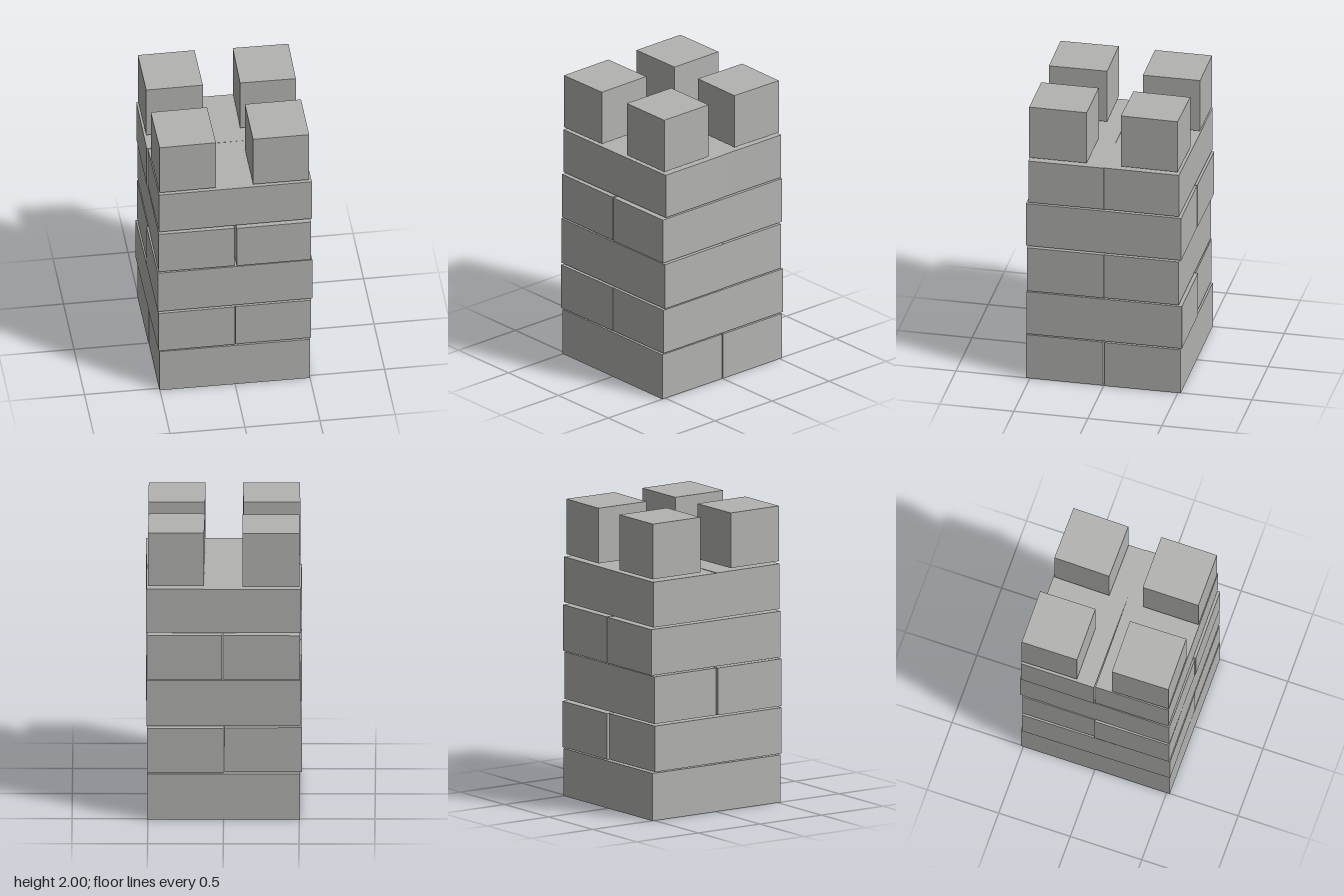
import * as THREE from 'three';

export function createModel() {
  const tower = new THREE.Group();
  tower.name = 'brickTower';
  const stone = new THREE.MeshStandardMaterial({ color: 0xb2b2b0 });
  stone.name = 'greyStone';

  // Block given by its extents, turned slightly about its own vertical axis
  function block(name, [x0, x1], [y0, y1], [z0, z1], yaw = 0) {
    const mesh = new THREE.Mesh(new THREE.BoxGeometry(x1 - x0, y1 - y0, z1 - z0), stone);
    mesh.name = name;
    mesh.position.set((x0 + x1) / 2, (y0 + y1) / 2, (z0 + z1) / 2);
    mesh.rotation.y = yaw;
    tower.add(mesh);
  }

  // Courses of two loosely laid bricks, alternating direction: [x range, z range, yaw]
  const courses = [
    { y: [0, 0.32], bricks: [
      [[-0.505, 0.505], [-0.518, -0.002], 0.003],
      [[-0.502, 0.502], [0.002, 0.524], -0.004]] },
    { y: [0.33, 0.64], bricks: [
      [[-0.514, -0.003], [-0.508, 0.526], 0.008],
      [[0.002, 0.506], [-0.527, 0.522], 0.002]] },
    { y: [0.652, 0.97], bricks: [
      [[-0.508, 0.51], [-0.506, -0.003], 0.002],
      [[-0.516, 0.515], [0.001, 0.52], 0.005]] },
    { y: [0.98, 1.29], bricks: [
      [[-0.506, -0.002], [-0.524, 0.522], -0.004],
      [[0.01, 0.505], [-0.522, 0.526], 0.003]] },
    { y: [1.305, 1.61], bricks: [
      [[-0.514, 0.509], [-0.512, 0], -0.005],
      [[-0.506, 0.513], [0.002, 0.511], 0.006]] },
  ];
  courses.forEach(({ y, bricks }, row) => {
    bricks.forEach(([x, z, yaw], i) => block(`course${row + 1}Brick${i + 1}`, x, y, z, yaw));
  });

  // Corner battlements
  const top = [1.628, 2];
  block('battlementBackRight', [-0.502, -0.124], top, [-0.513, -0.127], 0.005);
  block('battlementBackLeft', [0.126, 0.497], top, [-0.5, -0.115], -0.013);
  block('battlementFrontRight', [-0.503, -0.127], top, [0.117, 0.51], 0.01);
  block('battlementFrontLeft', [0.123, 0.497], top, [0.117, 0.506], 0);

  return tower;
}
